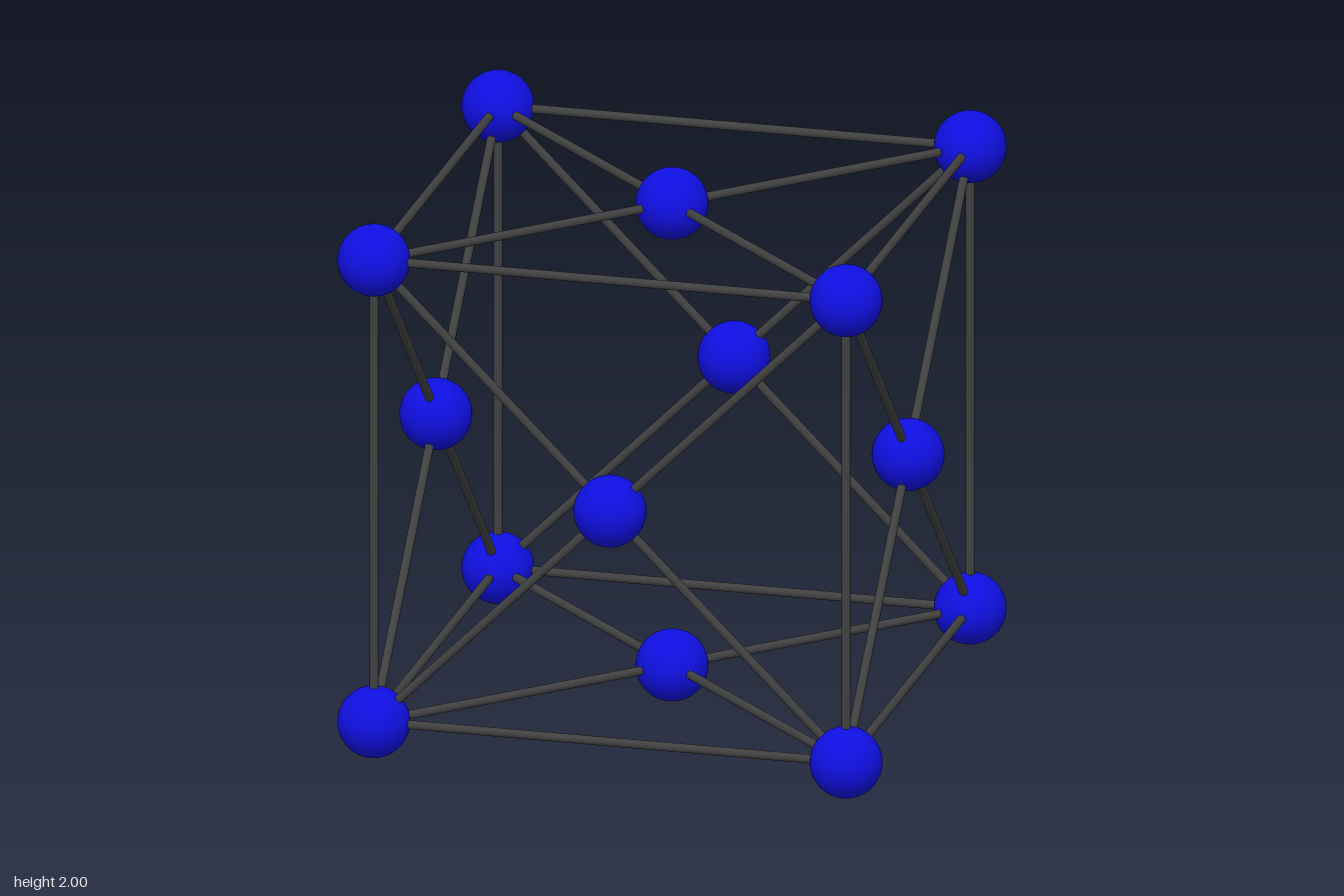
import * as THREE from 'three';

const HALF = 0.87;      // half the cube edge, between atom centres
const ATOM_R = 0.13;
const ROD_R = 0.016;

export function createModel() {
  const model = new THREE.Group();
  model.name = 'faceCentredCubicCell';

  const blue = new THREE.MeshStandardMaterial({ color: 0x0f0fe0 });
  blue.name = 'atom blue';
  const grey = new THREE.MeshStandardMaterial({ color: 0x404040 });
  grey.name = 'rod grey';

  const atomGeometry = new THREE.SphereGeometry(ATOM_R, 48, 32);

  function addAtom(name, position) {
    const atom = new THREE.Mesh(atomGeometry, blue);
    atom.name = name;
    atom.position.copy(position);
    model.add(atom);
  }

  // Straight rod between two atom centres
  function addRod(name, a, b) {
    const along = b.clone().sub(a);
    const rod = new THREE.Mesh(new THREE.CylinderGeometry(ROD_R, ROD_R, along.length(), 20), grey);
    rod.name = name;
    rod.position.copy(a).add(b).multiplyScalar(0.5);
    rod.quaternion.setFromUnitVectors(new THREE.Vector3(0, 1, 0), along.normalize());
    model.add(rod);
  }

  // Eight corner atoms
  const corners = [];
  for (const x of [-HALF, HALF])
    for (const y of [-HALF, HALF])
      for (const z of [-HALF, HALF])
        corners.push(new THREE.Vector3(x, y + 1, z));
  corners.forEach((c) => addAtom('cornerAtom', c));

  // Twelve cube edges: corners whose indices differ in one bit
  for (let i = 0; i < 8; i++)
    for (const bit of [1, 2, 4])
      if (!(i & bit)) addRod('edgeRod', corners[i], corners[i | bit]);

  // Six face atoms, each joined to the four corners of its face
  for (const axis of ['x', 'y', 'z'])
    for (const side of [-HALF, HALF]) {
      const centre = new THREE.Vector3(0, 1, 0);
      centre[axis] += side;
      addAtom('faceAtom', centre);
      corners
        .filter((c) => Math.abs(c[axis] - centre[axis]) < 0.01)
        .forEach((c) => addRod('diagonalRod', centre, c));
    }

  return model;
}
